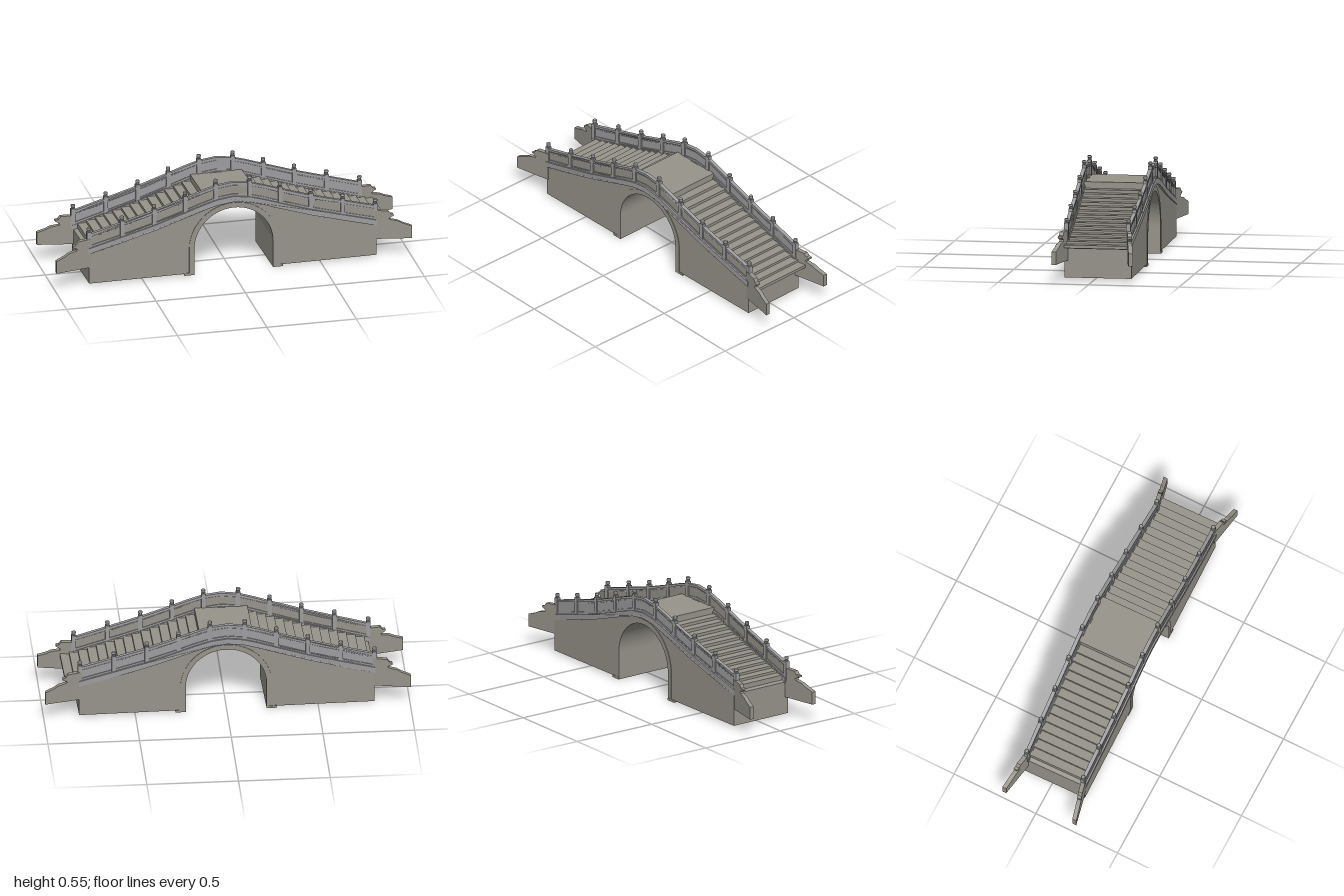
import * as THREE from 'three';

const stone = new THREE.MeshStandardMaterial({ color: 0x96938a });
stone.name = 'warm stone';
const railStone = new THREE.MeshStandardMaterial({ color: 0x9d9d9f });
railStone.name = 'grey rail stone';

const POSTS = [0.095, 0.267, 0.44, 0.62, 0.805];
const ARCH = { x: 0.007, y: 0.153, r: 0.222 };

// Height of the deck edge along the bridge: a gentle hump with straight flanks
const KNOTS = [[0, 0.443], [0.095, 0.431], [0.18, 0.405], [0.267, 0.375], [0.44, 0.318], [0.62, 0.267], [0.805, 0.216], [0.9, 0.19]];
function base(x) {
  const a = Math.abs(x);
  let i = 0;
  while (i < KNOTS.length - 2 && a > KNOTS[i + 1][0]) i++;
  const [x0, y0] = KNOTS[i], [x1, y1] = KNOTS[i + 1];
  return y0 + (y1 - y0) * (a - x0) / (x1 - x0);
}

// Distance of a balustrade from the centre line, slightly bowed in plan
const half = x => 0.182 - 0.011 * (x / 0.8) ** 2;

function add(parent, name, geometry, material) {
  const mesh = new THREE.Mesh(geometry, material);
  mesh.name = name;
  parent.add(mesh);
  return mesh;
}

function box(parent, name, w, h, d, x, y, z, material) {
  const mesh = add(parent, name, new THREE.BoxGeometry(w, h, d), material);
  mesh.position.set(x, y, z);
  return mesh;
}

// Extrudes a side profile through z, centred, then offsets z by a rule of x
function slab(shape, depth, offset = () => 0) {
  const geo = new THREE.ExtrudeGeometry(shape, { depth, bevelEnabled: false, curveSegments: 36 });
  const p = geo.attributes.position;
  for (let i = 0; i < p.count; i++) p.setZ(i, p.getZ(i) - depth / 2 + offset(p.getX(i)));
  geo.computeVertexNormals();
  return geo;
}

// Strip that follows the deck curve between two heights
function strip(xa, xb, lo, hi, depth, offset) {
  const n = Math.max(4, Math.round((xb - xa) / 0.045));
  const xs = Array.from({ length: n + 1 }, (_, i) => xa + (xb - xa) * i / n);
  const pts = xs.map(x => new THREE.Vector2(x, base(x) + lo));
  pts.push(...xs.reverse().map(x => new THREE.Vector2(x, base(x) + hi)));
  return slab(new THREE.Shape(pts), depth, offset);
}

function addBody(g) {
  const { x, y, r } = ARCH;
  const s = new THREE.Shape();
  s.moveTo(-0.805, 0.01);
  s.lineTo(x - r, 0.01);
  s.lineTo(x - r, y);
  s.absarc(x, y, r, Math.PI, 0, true);
  s.lineTo(x + r, 0.01);
  s.lineTo(0.81, 0.01);
  for (let i = 0; i <= 36; i++) {
    const px = 0.81 - 1.615 * i / 36;
    s.lineTo(px, base(px) - 0.025);
  }
  add(g, 'bridgeBody', slab(s, 0.368, () => -0.003), stone);

  // Arch ring, slightly proud of the side walls
  const ring = new THREE.Shape();
  const R = r + 0.028, q = r - 0.001;
  ring.moveTo(x - R, 0);
  ring.lineTo(x - q, 0);
  ring.lineTo(x - q, y);
  ring.absarc(x, y, q, Math.PI, 0, true);
  ring.lineTo(x + q, 0);
  ring.lineTo(x + R, 0);
  ring.lineTo(x + R, y);
  ring.absarc(x, y, R, 0, Math.PI, false);
  add(g, 'archRing', slab(ring, 0.374, () => -0.003), stone);
  for (const k of [-1, 1]) box(g, 'archFooting', 0.055, 0.013, 0.376, x + k * (r + 0.0275), 0.0065, -0.004, stone);
}

function addSteps(g) {
  box(g, 'crownDeck', 0.29, 0.04, 0.35, 0, 0.42, 0, stone);
  const pitch = 0.049;
  for (const k of [-1, 1]) {
    const count = k > 0 ? 15 : 13;
    for (let i = 0; i < count; i++) {
      const x = 0.145 + pitch * (i + 0.5);
      const last = x > 0.81;
      const h = last ? 0.017 : 0.04;
      const top = base(x) - 0.004;
      box(g, 'step', pitch, h, 0.348, k * x, top - h / 2, 0, stone);
    }
  }
}

function addPost(g, x, z) {
  const post = new THREE.Group();
  post.name = 'railPost';
  post.position.set(x, base(x), z);
  g.add(post);
  box(post, 'postShaft', 0.024, 0.11, 0.023, 0, 0.04, 0, railStone);
  // Turned finial with rings
  const profile = [[0, 0.094], [0.008, 0.094], [0.011, 0.098], [0.011, 0.101], [0.008, 0.103],
    [0.012, 0.107], [0.012, 0.115], [0.01, 0.118], [0, 0.118]].map(p => new THREE.Vector2(...p));
  const finial = add(post, 'postFinial', new THREE.LatheGeometry(profile, 12), railStone);
  finial.geometry = finial.geometry.toNonIndexed();
  finial.geometry.computeVertexNormals();
}

function addBalustrade(g, side) {
  const rail = new THREE.Group();
  rail.name = side > 0 ? 'frontBalustrade' : 'backBalustrade';
  g.add(rail);
  const at = x => side * half(x);
  add(rail, 'deckCurb', strip(-0.81, 0.81, -0.03, 0.002, 0.032, x => side * (half(x) + 0.002)), railStone);
  add(rail, 'bottomRail', strip(-0.805, 0.805, 0.002, 0.014, 0.018, at), railStone);
  add(rail, 'middleRail', strip(-0.805, 0.805, 0.058, 0.064, 0.014, at), railStone);
  add(rail, 'handrail', strip(-0.805, 0.805, 0.07, 0.083, 0.02, at), railStone);
  const xs = [...POSTS.map(x => -x).reverse(), ...POSTS];
  xs.forEach((x, i) => {
    addPost(rail, x, at(x));
    if (i) add(rail, 'railPanel', strip(xs[i - 1], x, 0.01, 0.074, 0.009, at), side > 0 ? stone : railStone);
  });
}

// Flared end walls with a scrolled top
function addWing(g, end, side) {
  const pts = [[0.795, 0.105], [0.999, 0.105], [0.999, 0.176], [0.95, 0.194], [0.925, 0.208], [0.88, 0.217],
    [0.875, 0.225], [0.902, 0.24], [0.9, 0.247], [0.885, 0.25], [0.872, 0.268], [0.795, 0.272]];
  const shape = new THREE.Shape(pts.map(([x, y]) => new THREE.Vector2(end * x, y)));
  add(g, 'wingWall', slab(shape, 0.024, x => side * (0.171 + (Math.abs(x) - 0.795) * 0.2)), stone);
}

export function createModel() {
  const model = new THREE.Group();
  model.name = 'archBridge';
  const g = new THREE.Group();
  g.name = 'bridge';
  g.rotation.y = 0.0205; // the bridge lies slightly askew in plan
  model.add(g);
  addBody(g);
  addSteps(g);
  for (const side of [-1, 1]) {
    addBalustrade(g, side);
    for (const end of [-1, 1]) addWing(g, end, side);
  }
  return model;
}
